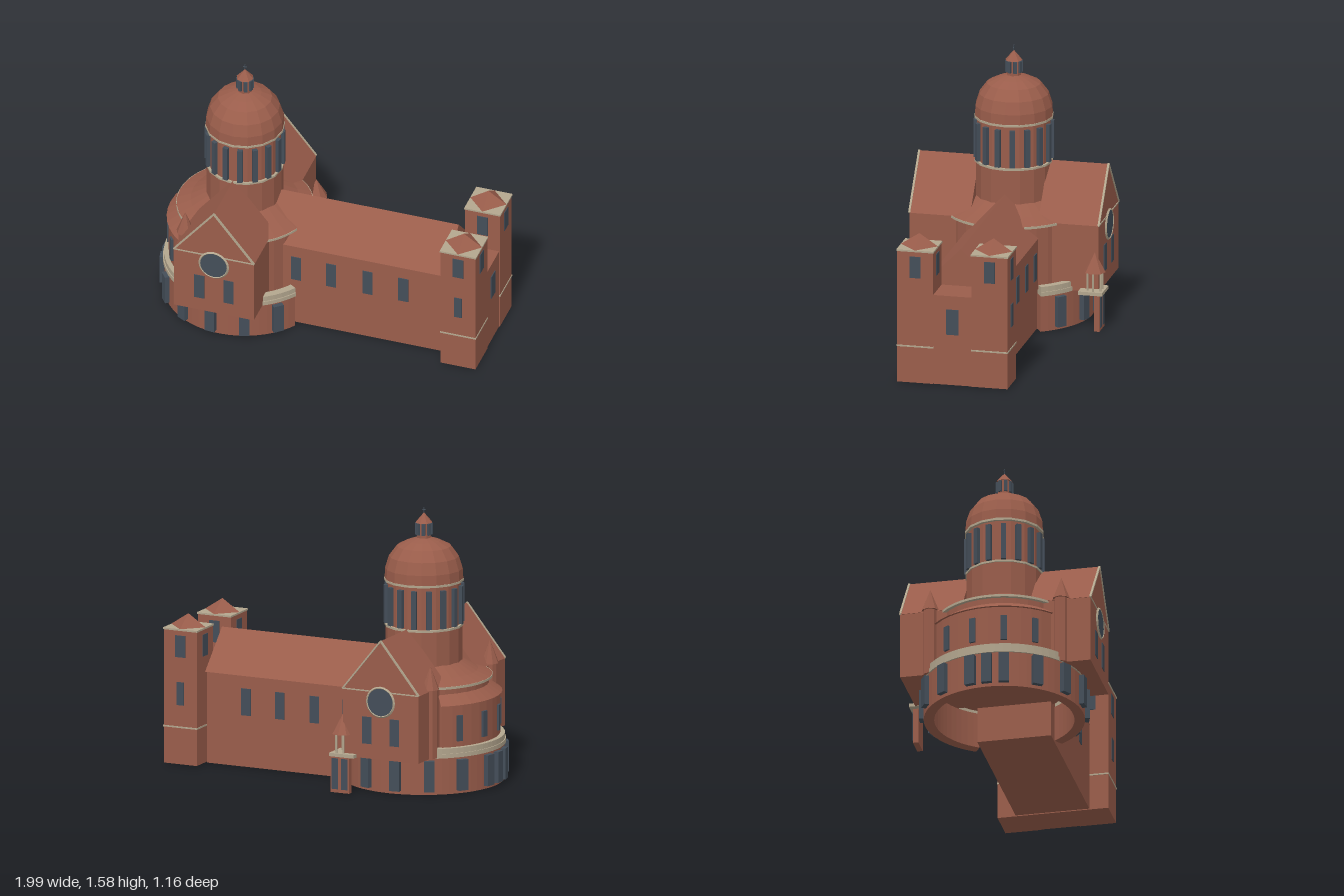
import * as THREE from 'three';

const mat = (name, color) => Object.assign(new THREE.MeshStandardMaterial({ color }), { name });

export function createModel() {
  const brick = mat('brick', 0x9a5d4b), cream = mat('cream stone', 0xb3a68e), dark = mat('dark glass', 0x444e59);
  const group = new THREE.Group();
  const CX = -0.51, CZ = 0.02, PI = Math.PI, rad = THREE.MathUtils.degToRad;

  // faceted mesh
  const add = (name, geo, material, x = 0, y = 0, z = 0, ry = 0) => {
    const g = geo.index ? geo.toNonIndexed() : geo;
    g.computeVertexNormals();
    const m = new THREE.Mesh(g, material);
    m.name = name;
    m.position.set(x, y, z);
    m.rotation.y = ry;
    group.add(m);
    return m;
  };
  // box from its limits
  const block = (name, m, x0, x1, y0, y1, z0, z1) =>
    add(name, new THREE.BoxGeometry(x1 - x0, y1 - y0, z1 - z0), m, (x0 + x1) / 2, (y0 + y1) / 2, (z0 + z1) / 2);
  const cyl = (name, m, x, z, r0, r1, y0, y1, n) =>
    add(name, new THREE.CylinderGeometry(r1, r0, y1 - y0, n), m, x, (y0 + y1) / 2, z);
  // box facing outward on a circle around the rotunda
  const radialBox = (name, m, r, deg, w, y0, y1, d) => {
    const a = rad(deg);
    add(name, new THREE.BoxGeometry(w, y1 - y0, d), m,
      CX + r * Math.cos(a), (y0 + y1) / 2, CZ + r * Math.sin(a), PI / 2 - a);
  };
  // annular wall, symmetric about the x axis, between two angles
  const ringArc = (name, m, r0, r1, y0, y1, d0, d1) => {
    const s = new THREE.Shape();
    s.absarc(0, 0, r1, rad(d0), rad(d1), false);
    s.absarc(0, 0, r0, rad(d1), rad(d0), true);
    const g = new THREE.ExtrudeGeometry(s, { depth: y1 - y0, bevelEnabled: false, curveSegments: 26 });
    add(name, g.rotateX(-PI / 2), m, CX, y0, CZ);
  };
  const lathe = (name, m, pts, n, d0 = 0, d1 = 360) =>
    add(name, new THREE.LatheGeometry(pts.map(p => new THREE.Vector2(...p)), n, rad(90 - d1), rad(d1 - d0)), m, CX, 0, CZ);
  // triangular prism along z
  const prism = (half, rise, length) => {
    const s = new THREE.Shape([[-half, 0], [half, 0], [0, rise]].map(p => new THREE.Vector2(...p)));
    return new THREE.ExtrudeGeometry(s, { depth: length, bevelEnabled: false });
  };

  // nave
  block('naveBase', brick, -0.25, 0.763, 0, 0.215, -0.195, 0.235);
  block('naveWall', brick, -0.25, 0.763, 0.215, 0.53, -0.195, 0.235);
  add('naveRoof', prism(0.217, 0.22, 1.135).rotateY(PI / 2), brick, -0.36, 0.53, CZ);
  for (const s of [-1, 1]) for (const x of [-0.13, 0.08, 0.3, 0.515])
    block('naveWindow', dark, x - 0.03, x + 0.03, 0.3, 0.457, CZ + s * 0.216 - 0.004, CZ + s * 0.216 + 0.004);

  // entrance block between the towers
  block('entranceBlock', brick, 0.775, 0.98, 0, 0.53, -0.1, 0.14);
  block('entranceWindow', dark, 0.977, 0.985, 0.3, 0.45, CZ - 0.037, CZ + 0.037);

  // twin towers
  for (const s of [-1, 1]) {
    const x = 0.88, z = CZ + s * 0.218, h = 0.105;
    block('tower', brick, x - h, x + h, 0, 0.78, z - h, z + h);
    block('towerCornice', cream, x - 0.109, x + 0.109, 0.78, 0.79, z - 0.109, z + 0.109);
    block('towerBand', cream, x - h - 0.003, x + h + 0.003, 0.212, 0.221, z - h - 0.003, z + h + 0.003);
    cyl('towerRoof', brick, x, z, 0.109, 0, 0.79, 0.862, 4);
    for (const t of [-1, 1]) {
      block('towerWindow', dark, x - 0.032, x + 0.032, 0.625, 0.752, z + t * h - 0.004, z + t * h + 0.004);
      block('towerWindow', dark, x + t * h - 0.004, x + t * h + 0.004, 0.625, 0.752, z - 0.032, z + 0.032);
    }
    block('towerLowWindow', dark, x - 0.023, x + 0.023, 0.345, 0.48, z + s * h - 0.004, z + s * h + 0.004);
  }

  // round lower storey with parapet
  ringArc('lowerRing', brick, 0.4, 0.46, 0, 0.212, 33, 327);
  ringArc('parapetBase', cream, 0.405, 0.468, 0.212, 0.236, 33, 327);
  ringArc('parapet', cream, 0.42, 0.462, 0.236, 0.267, 33, 327);
  for (let a = 48; a < 320; a += 24) radialBox('lowerWindow', dark, 0.465, a, 0.06, 0.02, 0.2, 0.045);
  radialBox('lowerDoor', dark, 0.465, 180, 0.06, 0.02, 0.2, 0.045);

  // rotunda wall and roof
  cyl('rotundaWall', brick, CX, CZ, 0.372, 0.372, 0.213, 0.6, 32);
  ringArc('rotundaEaves', cream, 0.36, 0.392, 0.595, 0.609, 22, 338);
  lathe('rotundaRoof', brick, [[0.36, 0.607], [0.39, 0.609], [0.31, 0.64], [0.215, 0.695]], 32);

  // apse
  lathe('apseWall', brick, [[0.36, 0.215], [0.435, 0.215], [0.435, 0.51]], 12, 130, 230);
  lathe('apseRoof', brick, [[0.43, 0.508], [0.447, 0.51], [0.36, 0.57]], 12, 129, 231);
  for (const a of [144, 168, 192, 216]) radialBox('apseWindow', dark, 0.436, a, 0.036, 0.3, 0.45, 0.02);

  // transept arms with gabled ends
  for (const s of [-1, 1]) {
    const inner = CZ + s * 0.2, end = CZ + s * 0.555;
    const z0 = Math.min(inner, end), z1 = Math.max(inner, end);
    const face = (d, t = 0.004) => [end + s * d - t, end + s * d + t];
    block('transeptWall', brick, CX - 0.24, CX + 0.24, 0.214, 0.61, z0, z1);
    add('transeptRoof', prism(0.243, 0.3, z1 - z0), brick, CX, 0.608, z0);
    block('gableBand', cream, CX - 0.243, CX + 0.243, 0.606, 0.613, ...face(0));
    for (const t of [-1, 1]) {
      const c = add('gableCoping', new THREE.BoxGeometry(0.386, 0.009, 0.012), cream, CX + t * 0.12, 0.759, end);
      c.rotation.z = -t * Math.atan2(0.3, 0.243);
      const x = CX + t * 0.088;
      block('transeptWindow', dark, x - 0.03, x + 0.03, 0.3, 0.457, ...face(0));
    }
    add('roseWindow', new THREE.CylinderGeometry(0.08, 0.08, 0.009, 24).rotateX(PI / 2), dark, CX, 0.55, end + s * 0.003);
    add('roseFrame', new THREE.TorusGeometry(0.084, 0.008, 4, 24), cream, CX, 0.55, end + s * 0.003);

    // stair turret beside the arm
    cyl('stairTurret', brick, -0.74, CZ + s * 0.382, 0.042, 0.042, 0.214, 0.62, 8);
    cyl('stairTurretRoof', brick, -0.74, CZ + s * 0.382, 0.052, 0, 0.615, 0.75, 8);
  }

  // drum and dome
  cyl('lowerDrum', brick, CX, CZ, 0.22, 0.22, 0.6, 0.895, 16);
  cyl('drumBand', cream, CX, CZ, 0.226, 0.226, 0.893, 0.905, 16);
  cyl('upperDrum', brick, CX, CZ, 0.212, 0.212, 0.905, 1.156, 16);
  cyl('domeBand', cream, CX, CZ, 0.228, 0.228, 1.154, 1.167, 16);
  lathe('dome', brick, [[0.21, 1.166], [0.225, 1.167], [0.222, 1.225], [0.2, 1.295], [0.155, 1.355],
    [0.095, 1.385], [0, 1.415]], 16);
  for (let i = 0; i < 16; i++) radialBox('drumWindow', dark, 0.217, (i + 0.5) * 22.5, 0.03, 0.91, 1.132, 0.026);

  // lantern and cross
  cyl('lantern', brick, CX, CZ, 0.042, 0.042, 1.39, 1.492, 8);
  for (let i = 0; i < 8; i++) radialBox('lanternWindow', dark, 0.042, (i + 0.5) * 45, 0.02, 1.42, 1.487, 0.016);
  cyl('lanternRoof', brick, CX, CZ, 0.05, 0, 1.49, 1.548, 8);
  block('crossPost', dark, CX - 0.002, CX + 0.002, 1.54, 1.578, CZ - 0.002, CZ + 0.002);
  block('crossBar', dark, CX - 0.012, CX + 0.012, 1.562, 1.566, CZ - 0.002, CZ + 0.002);

  // open porch turret behind the rear arm
  const px = -0.26, pz = -0.515;
  block('porchLeg', brick, -0.32, -0.2, 0, 0.212, -0.556, -0.524);
  for (const x of [-0.29, -0.23]) block('porchPanel', dark, x - 0.02, x + 0.02, 0.02, 0.2, -0.56, -0.552);
  block('porchPlatform', cream, -0.355, -0.2, 0.212, 0.232, -0.572, -0.43);
  for (let i = 0; i < 6; i++) {
    const a = i * PI / 3;
    cyl('porchColumn', cream, px + 0.045 * Math.cos(a), pz + 0.045 * Math.sin(a), 0.006, 0.006, 0.23, 0.345, 6);
  }
  cyl('porchRoof', brick, px, pz, 0.064, 0, 0.34, 0.455, 8);

  return group;
}
